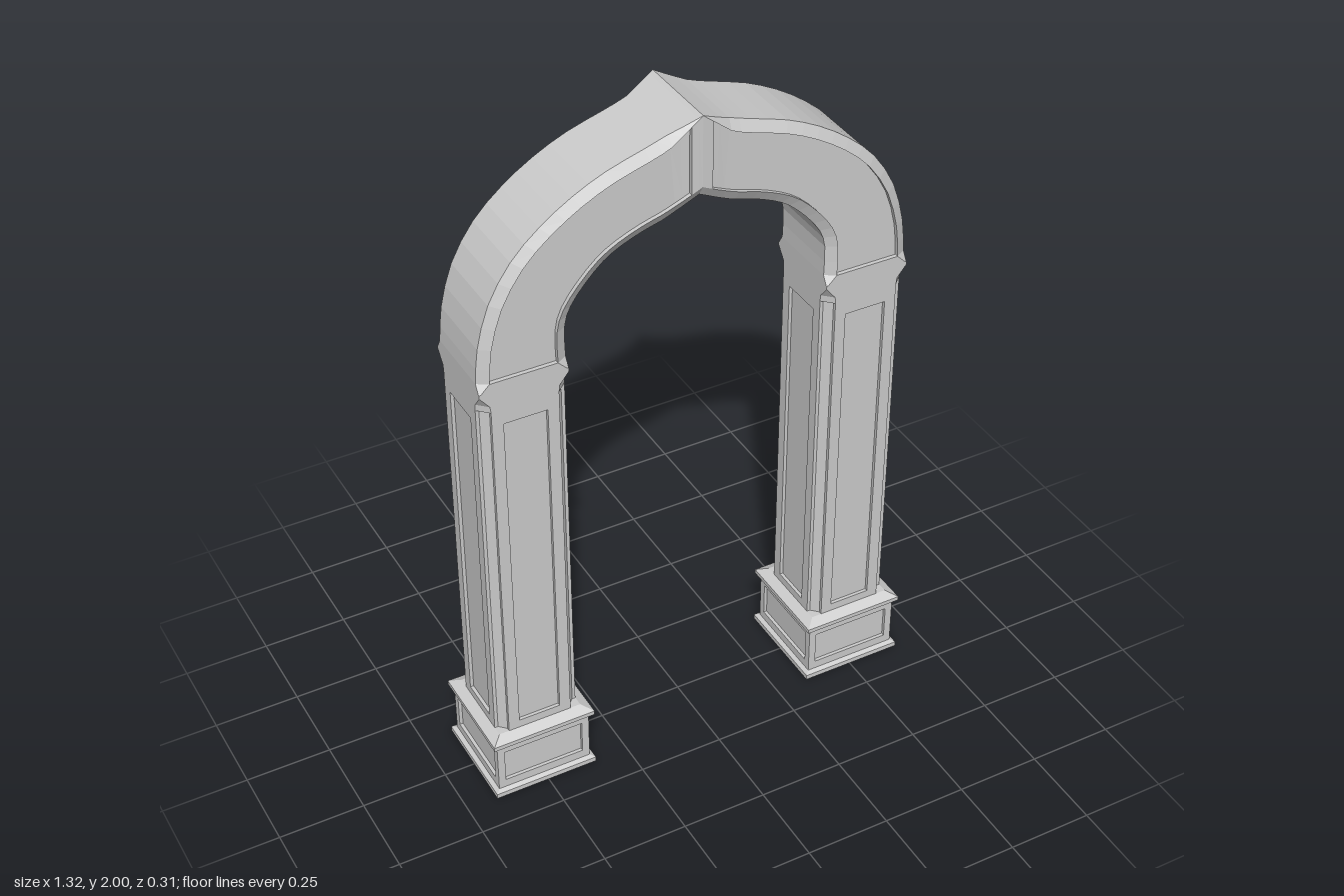
import * as THREE from 'three';

const material = new THREE.MeshStandardMaterial({ color: 0xcccccc, flatShading: true });

// Skin a list of rings (equal point counts, counter-clockwise seen from the far end)
function loft(rings) {
  const n = rings[0].length, pos = [], idx = [];
  rings.forEach(r => r.forEach(p => pos.push(...p)));
  for (let i = 0; i < rings.length - 1; i++) {
    for (let j = 0; j < n; j++) {
      const a = i * n + j, b = i * n + (j + 1) % n;
      idx.push(a, b, b + n, a, b + n, a + n);
    }
  }
  const indexed = new THREE.BufferGeometry();
  indexed.setAttribute('position', new THREE.Float32BufferAttribute(pos, 3));
  indexed.setIndex(idx);
  const g = indexed.toNonIndexed();
  g.computeVertexNormals();
  return g;
}

// Square ring of half-width h at height y; c < h cuts the corners
function ring(y, h, c = h) {
  return [[h, c], [h, -c], [c, -h], [-c, -h], [-h, -c], [-h, c], [-c, h], [c, h]]
    .map(([x, z]) => [x, y, z]);
}

function mesh(name, geometry) {
  const m = new THREE.Mesh(geometry, material);
  m.name = name;
  return m;
}

function rect(path, w, y0, y1) {
  path.moveTo(-w, y0);
  path.lineTo(w, y0);
  path.lineTo(w, y1);
  path.lineTo(-w, y1);
  path.closePath();
  return path;
}

// Four raised frames around a core, leaving a sunken panel on every side
function panelFrames(name, face, depth, outer, inner) {
  const group = new THREE.Group();
  group.name = name;
  const shape = rect(new THREE.Shape(), ...outer);
  shape.holes.push(rect(new THREE.Path(), ...inner));
  const geo = new THREE.ExtrudeGeometry(shape, { depth, bevelEnabled: false });
  geo.translate(0, 0, face - depth);
  for (let k = 0; k < 4; k++) {
    const m = mesh('panelFrame', geo);
    m.rotation.y = k * Math.PI / 2;
    group.add(m);
  }
  return group;
}

function createPillar(name, x) {
  const g = new THREE.Group();
  g.name = name;
  g.position.x = x;
  // plinth with foot, panelled block and sloping cap
  g.add(mesh('plinth', loft([
    ring(0, 0), ring(0, 0.155), ring(0.015, 0.155), ring(0.021, 0.142), ring(0.021, 0.132),
    ring(0.178, 0.132), ring(0.178, 0.145), ring(0.182, 0.155), ring(0.195, 0.155),
    ring(0.21, 0.125), ring(0.21, 0),
  ])));
  g.add(panelFrames('plinthPanels', 0.142, 0.01, [0.142, 0.02, 0.179], [0.12, 0.047, 0.152]));
  // shaft with stepped, chamfered corners
  g.add(mesh('shaftCore', loft([ring(0.2, 0.115, 0.095), ring(1.32, 0.115, 0.095)])));
  g.add(panelFrames('shaftPanels', 0.125, 0.01, [0.095, 0.2, 1.312], [0.062, 0.235, 1.265]));
  // capital: corner chamfers run out to a full square
  g.add(mesh('capital', loft([
    ring(1.31, 0), ring(1.31, 0.125, 0.095), ring(1.33, 0.125, 0.097), ring(1.365, 0.125), ring(1.375, 0.125),
  ])));
  return g;
}

// Arch cross-section between an outer point o and an inner point i
function archSection(o, i, { chamferOut = 1, chamferIn = 1, recess = 0, face = 0.125 }) {
  const d = i.clone().sub(o).normalize(), c = 0.03;
  const at = (p, s) => p.clone().addScaledVector(d, s);
  const outEdge = at(o, c * chamferOut), inEdge = at(i, -c * chamferIn);
  const zo = face - 0.018 * chamferOut, zi = face - 0.018 * chamferIn, zp = face - recess;
  const half = [[o, zo], [outEdge, face], [outEdge, zp], [inEdge, zp], [inEdge, face], [i, zi]];
  const back = half.map(([p, z]) => [p.x, p.y, -z]);
  const front = half.map(([p, z]) => [p.x, p.y, z]).reverse();
  return [...back, ...front];
}

function createArch() {
  const spline = pts => new THREE.SplineCurve(pts.map(p => new THREE.Vector2(...p)));
  const outer = spline([[0.63, 1.4], [0.62, 1.5], [0.585, 1.62], [0.52, 1.725], [0.44, 1.8], [0.35, 1.86],
    [0.255, 1.905], [0.15, 1.938], [0.085, 1.96], [0.03, 1.985], [0, 2]]);
  const inner = spline([[0.38, 1.4], [0.38, 1.49], [0.362, 1.545], [0.32, 1.6], [0.268, 1.65], [0.217, 1.68],
    [0.155, 1.704], [0.105, 1.718], [0.068, 1.733], [0.03, 1.752], [0, 1.767]]);
  const stations = [];
  const add = (o, i, opt) => stations.push({ o, i, opt });
  // springing: square block turning into the chamfered arch
  add(new THREE.Vector2(0.63, 1.37), new THREE.Vector2(0.38, 1.37), { chamferOut: 0, chamferIn: 0 });
  const N = 20, recess = 0.012;
  for (let k = 0; k <= N; k++) {
    const o = outer.getPoint(k / N), i = inner.getPoint(k / N);
    const chamferOut = Math.min(1, o.x / 0.09);
    const face = 0.125 + 0.005 * (1 - chamferOut);
    // the sunken face stops at the springing and beside the apex rib
    if (k === 0) add(o, i, { chamferOut, face });
    if (k <= N - 2) add(o, i, { chamferOut, face, recess });
    if (k >= N - 2) add(o, i, { chamferOut, face });
  }
  // mirror the stations over the apex
  const flip = v => new THREE.Vector2(-v.x, v.y);
  const mirrored = stations.slice(0, -1).reverse().map(s => ({ o: flip(s.o), i: flip(s.i), opt: s.opt }));
  return mesh('pointedArch', loft([...stations, ...mirrored].map(s => archSection(s.o, s.i, s.opt))));
}

export function createModel() {
  const model = new THREE.Group();
  model.name = 'archway';
  model.add(createPillar('leftPillar', 0.505), createPillar('rightPillar', -0.505), createArch());
  return model;
}
